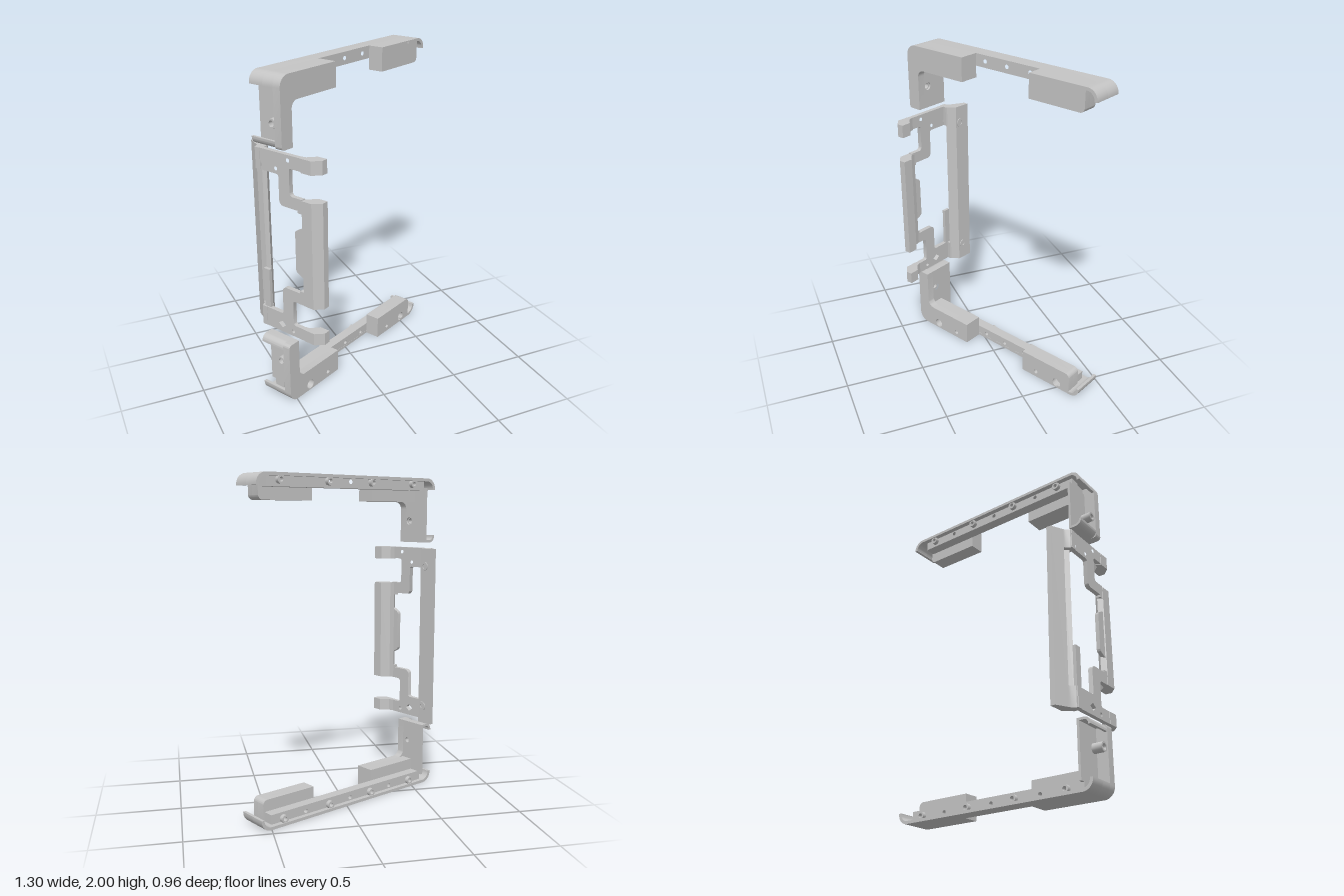
import * as THREE from 'three';
import { toCreasedNormals } from 'three/addons/utils/BufferGeometryUtils.js';

const gray = new THREE.MeshStandardMaterial({ color: 0xc4c4c4 });
gray.name = 'light gray';

// Closed outline from [x, y, cornerRadius?] points
function outline(pts, holes = []) {
  const s = new THREE.Shape();
  const n = pts.length;
  pts.forEach(([x, y, r = 0], i) => {
    const p = new THREE.Vector2(x, y);
    const toward = (q) => p.clone().add(new THREE.Vector2(q[0] - x, q[1] - y).setLength(r));
    const a = r ? toward(pts[(i + n - 1) % n]) : p;
    const b = r ? toward(pts[(i + 1) % n]) : p;
    if (i === 0) s.moveTo(a.x, a.y); else s.lineTo(a.x, a.y);
    if (r) {
      const k = 0.552;
      const c1 = a.clone().lerp(p, k), c2 = b.clone().lerp(p, k);
      s.bezierCurveTo(c1.x, c1.y, c2.x, c2.y, b.x, b.y);
    }
  });
  s.closePath();
  for (const [x, y, r] of holes) {
    const h = new THREE.Path();
    h.absarc(x, y, r, 0, Math.PI * 2, true);
    s.holes.push(h);
  }
  return s;
}

function extrude(shape, depth) {
  return new THREE.ExtrudeGeometry(shape, { depth, bevelEnabled: false, curveSegments: 10 });
}

function add(group, name, geo) {
  const m = new THREE.Mesh(toCreasedNormals(geo, 0.6), gray);
  m.name = name;
  group.add(m);
}

// Extrude a (depth, height) outline along the bar direction
const sheet = (group, name, shape, u0, u1) =>
  add(group, name, extrude(shape, u1 - u0).rotateY(-Math.PI / 2).translate(u1, 0, 0));

// Short hollow tube running along +z
function tube(outer, inner, length) {
  const s = new THREE.Shape();
  s.absarc(0, 0, outer, 0, Math.PI * 2, false);
  const h = new THREE.Path();
  h.absarc(0, 0, inner, 0, Math.PI * 2, true);
  s.holes.push(h);
  return extrude(s, length);
}

// Corner bracket: local x runs along the bar, local z is its depth
function bracket(name, flip) {
  const g = new THREE.Group();
  g.name = name;
  const Y = (y) => (flip ? 2 - y : y);
  const f = (list) => list.map(([x, y, r]) => [x, Y(y), r]);
  const slab = (part, pts, z0, z1, holes = []) =>
    add(g, part, extrude(outline(f(pts), f(holes)), z1 - z0).translate(0, 0, z0));
  const L = 1.365, hy = 1.963;

  // Long outer skin with curled ends
  slab('outerSkin', [[0, 1.93], [0, 2, 0.065], [L, 2, 0.065], [L, 1.93],
    [L - 0.018, 1.93], [L - 0.018, 1.982, 0.05], [0.018, 1.982, 0.05], [0.018, 1.93]], 0, 0.096);
  slab('leftCurl', [[0, 1.93], [0, 2, 0.065], [0.2, 2], [0.2, 1.982], [0.018, 1.982, 0.05], [0.018, 1.93]], 0.096, 0.17);
  slab('rightCurl', [[L, 1.93], [L, 2, 0.065], [1.2, 2], [1.2, 1.982], [L - 0.018, 1.982, 0.05], [L - 0.018, 1.93]], 0.096, 0.192);

  // Bar web and its screw bosses
  const bosses = [0.18, 0.52, 0.852, 1.196];
  slab('barWeb', [[0.07, 1.925], [0.07, 1.995], [1.28, 1.995], [1.28, 1.925]], 0.03, 0.095,
    [...bosses, 0.35, 0.683, 1.03].map((u) => [u, hy, 0.013]));
  for (const u of bosses) add(g, 'barBoss', tube(0.024, 0.013, 0.025).translate(u, Y(hy), 0.006));

  // Thick end blocks with counterbored screw holes
  slab('leftBlock', [[0.08, 1.855], [0.08, 2], [0.45, 2], [0.45, 1.855]], 0.095, 0.171,
    [[0.18, hy, 0.014], [0.35, hy, 0.013]]);
  const rightBlock = [[0.92, 1.855], [0.92, 2], [1.29, 2], [1.29, 1.855, 0.03]];
  slab('rightBlock', rightBlock, 0.095, 0.15, [[1.196, hy, 0.014], [1.03, hy, 0.014]]);
  slab('rightBlockFace', rightBlock, 0.15, 0.192, [[1.196, hy, 0.03], [1.03, hy, 0.014]]);

  // Front face of the corner and leg
  slab('cornerFace', [[0, 1.6, 0.02], [0, 2, 0.065], [0.45, 2], [0.45, 1.855], [0.085, 1.855, 0.045], [0.085, 1.6]],
    0.17, 0.219, [[0.18, hy, 0.03], [0.35, hy, 0.014]]);

  // Outward lip at the leg's end, inner leg skin and its boss
  slab('legLip', [[0.085, 1.6], [0, 1.6, 0.04], [0, 1.645], [0.015, 1.645], [0.015, 1.615, 0.025], [0.085, 1.615]], 0, 0.171);
  sheet(g, 'legSkin', outline(f([[0, 1.614], [0.171, 1.614], [0.171, 1.94], [0, 1.94]]), f([[0.142, 1.735, 0.024]])), 0.07, 0.085);
  add(g, 'legBoss', tube(0.029, 0.018, 0.066).rotateY(Math.PI / 2).translate(0.006, Y(1.735), 0.142));
  return g;
}

// Upright prism from [x, z] points
function prism(group, name, pts, y0, y1) {
  add(group, name, extrude(outline(pts.map(([x, z]) => [x, -z])), y1 - y0)
    .rotateX(-Math.PI / 2).translate(0, y0, 0));
}

function place(group) {
  group.position.set(-0.65, 0, 0.15);
  group.rotation.y = THREE.MathUtils.degToRad(27.5);
}

export function createModel() {
  const model = new THREE.Group();
  model.name = 'bracketFrame';

  for (const [name, flip] of [['topBracket', false], ['bottomBracket', true]]) {
    const b = bracket(name, flip);
    place(b);
    model.add(b);
  }

  // Side plate: outline in depth and height, thin along the bar direction
  const plate = new THREE.Group();
  plate.name = 'sidePlate';
  place(plate);
  model.add(plate);
  const arm = [[-0.035, 0.445], [0.3, 0.445], [0.3, 0.52], [0.214, 0.52, 0.015], [0.214, 0.68, 0.02],
    [0.3, 0.68], [0.3, 0.765], [0.27, 0.765], [0.27, 0.75], [0.135, 0.75, 0.03], [0.135, 0.57, 0.015], [-0.035, 0.57]];
  const lower = outline(arm, [[0.208, 0.475, 0.012]]);
  lower.holes.push(new THREE.Path([[0.094, 0.495], [0.124, 0.518], [0.154, 0.495], [0.124, 0.472]]
    .map(([x, y]) => new THREE.Vector2(x, y))));
  const upper = outline(arm.map(([v, y, r]) => [v, 2.01 - y, r]),
    [[0.208, 1.535, 0.012], [0.118, 1.47, 0.011], [0.005, 1.47, 0.011]]);
  sheet(plate, 'lowerArm', lower, 0.052, 0.08);
  sheet(plate, 'upperArm', upper, 0.052, 0.08);
  sheet(plate, 'middleTab', outline([[0.3, 0.85], [0.242, 0.88, 0.012], [0.242, 1.13, 0.012], [0.3, 1.16]]), 0.056, 0.08);
  sheet(plate, 'innerRail', outline([[-0.02, 0.56], [0.025, 0.56], [0.025, 0.82], [-0.02, 0.82]]), 0.06, 0.08);

  // Angled front hooks
  const hook = [[-0.467, 0.393], [-0.435, 0.455], [-0.375, 0.475], [-0.34, 0.455],
    [-0.37, 0.4], [-0.43, 0.385], [-0.45, 0.361]];
  for (const [y0, y1] of [[0.445, 0.52], [0.68, 1.325], [1.485, 1.565]]) prism(model, 'frontHook', hook, y0, y1);

  // Rear column with end feet and screw collars
  prism(model, 'rearColumn', [[-0.6, -0.03], [-0.575, -0.045], [-0.53, 0.05], [-0.56, 0.108],
    [-0.585, 0.1], [-0.562, 0.05], [-0.6, 0.055]], 0.445, 1.565);
  for (const [y0, y1] of [[0.445, 0.57], [1.44, 1.565]])
    prism(model, 'columnFoot', [[-0.6, 0.05], [-0.56, 0.05], [-0.555, 0.11], [-0.605, 0.13], [-0.62, 0.1], [-0.6, 0.07]], y0, y1);
  for (const y of [0.555, 1.455])
    add(model, 'screwCollar', tube(0.028, 0.014, 0.012).rotateY(Math.PI / 2 + 0.44).translate(-0.551, y, 0.022));

  return model;
}
